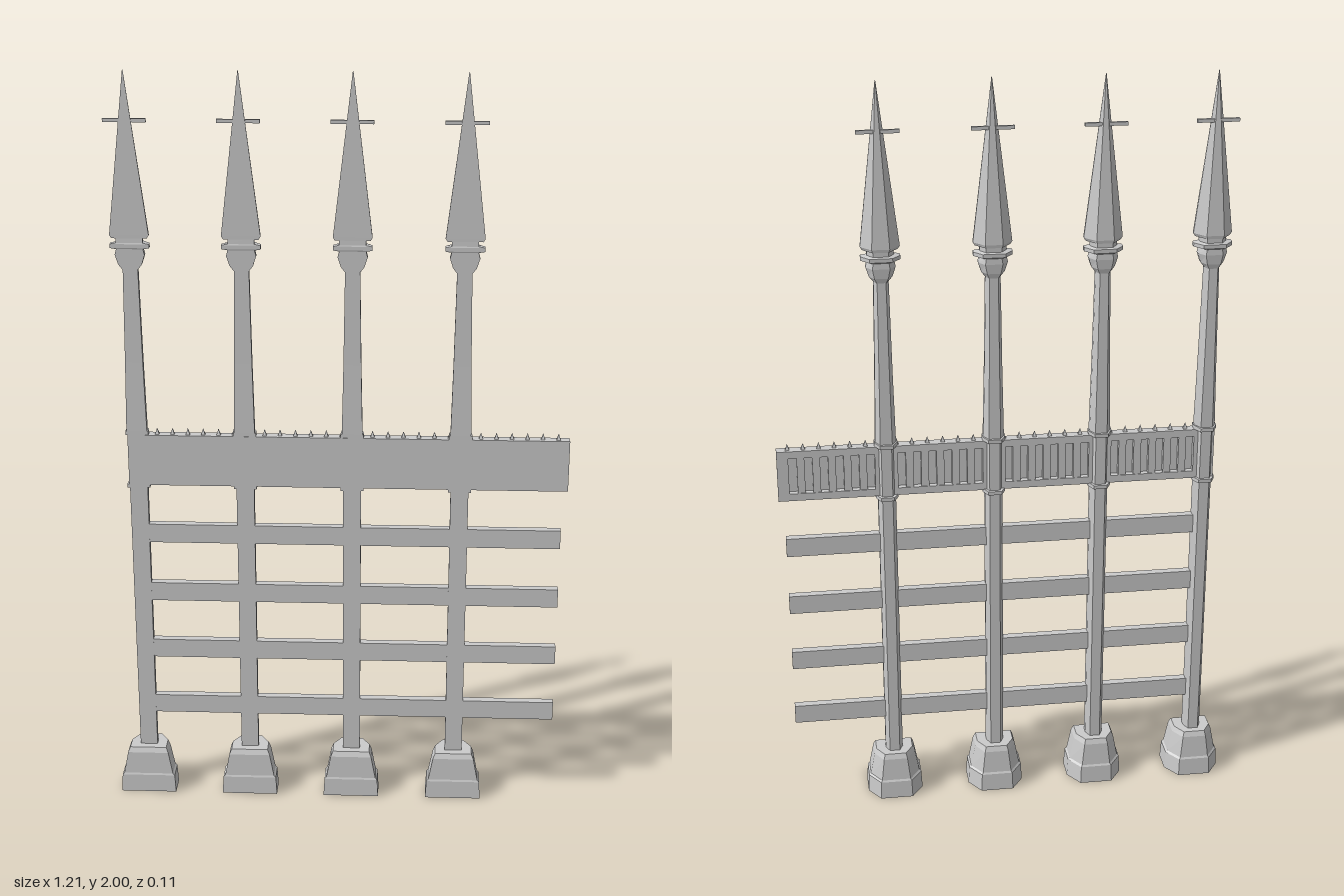
import * as THREE from 'three';

const mat = new THREE.MeshStandardMaterial({ color: 0xcccccc, flatShading: true });
const postX = [-0.53, -0.247, 0.035, 0.318];
const pitch = 0.0404;

// Lofts a column with a flat front and a chamfered back.
// Each section is [y, halfWidth, zFront, zBack]; side is the depth share of the straight flank.
function loft(sections, side, back = 0.58) {
  const rings = sections.map(([y, w, zf, zb]) => {
    const zm = zf + (zb - zf) * side;
    return [[w, zf], [w, zm], [w * back, zb], [-w * back, zb], [-w, zm], [-w, zf]]
      .map(([x, z]) => [x, y, z]);
  });
  const pos = [];
  const tri = (a, b, c) => pos.push(...a, ...b, ...c);
  for (let i = 0; i < rings.length - 1; i++) {
    const lo = rings[i], hi = rings[i + 1];
    for (let j = 0; j < 6; j++) {
      const k = (j + 1) % 6;
      tri(lo[j], lo[k], hi[k]);
      tri(lo[j], hi[k], hi[j]);
    }
  }
  const first = rings[0], last = rings[rings.length - 1];
  for (let j = 1; j < 5; j++) {
    tri(first[0], first[j + 1], first[j]);
    tri(last[0], last[j], last[j + 1]);
  }
  const geo = new THREE.BufferGeometry();
  geo.setAttribute('position', new THREE.Float32BufferAttribute(pos, 3));
  geo.computeVertexNormals();
  return geo;
}

function add(parent, name, geo) {
  const mesh = new THREE.Mesh(geo, mat);
  mesh.name = name;
  parent.add(mesh);
  return mesh;
}

// Box given by its lower and upper limits on each axis
function box(parent, name, x0, x1, y0, y1, z0, z1) {
  const mesh = add(parent, name, new THREE.BoxGeometry(x1 - x0, y1 - y0, z1 - z0));
  mesh.position.set((x0 + x1) / 2, (y0 + y1) / 2, (z0 + z1) / 2);
}

function createPost() {
  const post = new THREE.Group();
  post.name = 'post';
  // Stepped stone footing
  add(post, 'footing', loft([
    [0, 0.076, 0.053, -0.056], [0.05, 0.073, 0.051, -0.053],
    [0.055, 0.068, 0.049, -0.05], [0.118, 0.056, 0.046, -0.044], [0.132, 0.05, 0.04, -0.038],
  ], 0.57));
  // Shaft, slimmer above the band
  add(post, 'shaft', loft([
    [0.12, 0.0235, 0.019, -0.02], [1.05, 0.0235, 0.019, -0.02],
    [1.06, 0.027, 0.019, -0.021], [1.25, 0.023, 0.018, -0.019], [1.51, 0.019, 0.017, -0.016],
  ], 0.45));
  // Collars where the band crosses the shaft
  for (const y of [0.907, 1.055]) {
    add(post, 'collar', loft([
      [y - 0.005, 0.03, 0.019, -0.028], [y + 0.005, 0.03, 0.019, -0.028],
    ], 0.45));
  }
  // Capital with a rim and a neck
  add(post, 'capital', loft([
    [1.497, 0.02, 0.018, -0.016], [1.51, 0.03, 0.018, -0.019], [1.535, 0.038, 0.018, -0.021],
    [1.55, 0.034, 0.018, -0.02], [1.553, 0.05, 0.019, -0.023], [1.563, 0.05, 0.019, -0.023],
    [1.566, 0.034, 0.018, -0.018], [1.585, 0.034, 0.017, -0.018],
  ], 0.4));
  // Spearhead with a pin through it near the tip
  add(post, 'spearhead', loft([
    [1.578, 0.045, 0.018, -0.021], [1.586, 0.05, 0.018, -0.022], [2, 0.0008, 0.016, 0.0145],
  ], 0.2, 0.45));
  box(post, 'crossPin', -0.056, 0.052, 1.871, 1.88, 0.006, 0.014);
  return post;
}

function createBand() {
  const band = new THREE.Group();
  band.name = 'band';
  const x0 = -0.555, x1 = 0.602;
  // Flat front plate, with a frame on the back
  box(band, 'frontPlate', x0, x1, 0.91, 1.05, 0.008, 0.0195);
  box(band, 'topFrame', x0, x1, 1.03, 1.05, -0.008, 0.009);
  box(band, 'bottomFrame', x0, x1, 0.91, 0.93, -0.008, 0.009);
  box(band, 'endFrame', x1 - 0.03, x1, 0.93, 1.03, -0.008, 0.009);
  for (const x of postX) {
    box(band, 'pier', Math.max(x0, x - 0.03), x + 0.03, 0.93, 1.03, -0.008, 0.009);
    // Five slats leave six recesses in each bay
    for (let i = -2; i <= 2; i++) {
      const c = x + 0.1415 + i * pitch;
      box(band, 'slat', c - 0.01, c + 0.01, 0.93, 1.03, -0.006, 0.009);
    }
  }
  // Small spikes along the top edge
  for (let i = 0; i < 28; i++) {
    const spike = add(band, 'spike', new THREE.ConeGeometry(0.008, 0.018, 4));
    spike.position.set(-0.518 + i * pitch, 1.058, 0.006);
    spike.rotation.y = Math.PI / 4;
  }
  return band;
}

export function createModel() {
  const model = new THREE.Group();
  model.name = 'fence';
  for (const x of postX) {
    const post = createPost();
    post.position.x = x;
    model.add(post);
  }
  model.add(createBand());
  // Four horizontal rails, set just behind the face of the posts
  for (const y of [0.26, 0.43, 0.6, 0.771]) {
    box(model, 'rail', -0.53, 0.588, y - 0.026, y + 0.026, -0.003, 0.0187);
  }
  return model;
}
